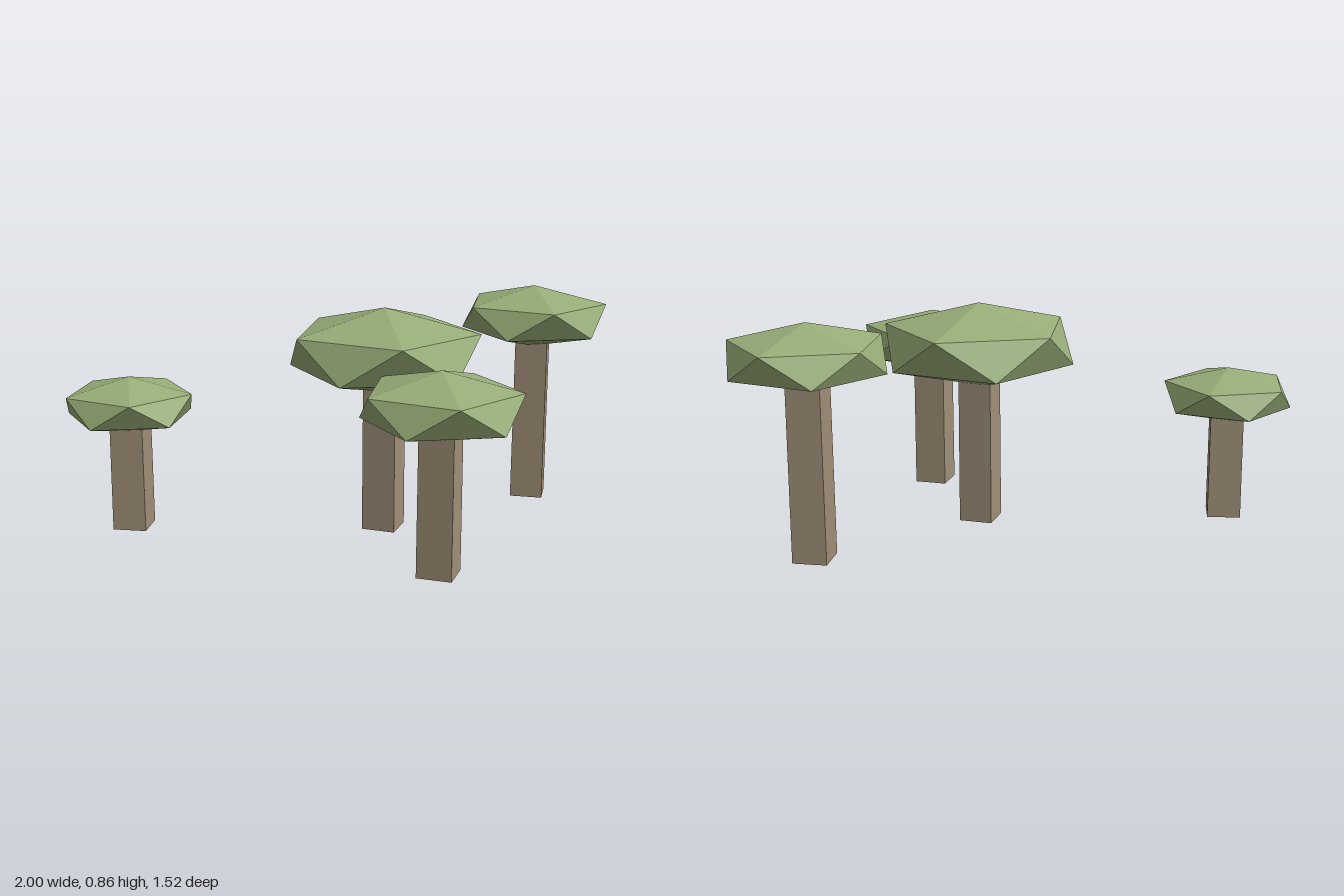
import * as THREE from 'three';

const trunkMaterial = new THREE.MeshStandardMaterial({ name: 'bark', color: 0xa09078, flatShading: true });
const leafMaterial = new THREE.MeshStandardMaterial({ name: 'foliage', color: 0x97ad78, flatShading: true });

// Unit icosahedron standing on a vertex, with an upper-ring corner on +x
const crownGeometry = new THREE.IcosahedronGeometry(1, 0);
crownGeometry.rotateZ(-Math.atan(2 / (1 + Math.sqrt(5))));

// x, z, crown centre height, crown radius, crown half height, trunk turn in degrees
const trees = [
  ['smallTree', -0.757, 0.18, 0.481, 0.271, 0.105, 1.5],
  ['wideTree', 0.186, 0.022, 0.69, 0.401, 0.159, -10],
  ['frontTree', 0.447, 0.491, 0.606, 0.315, 0.122, -9],
  ['backTree', 0.714, -0.491, 0.741, 0.317, 0.122, -2.7],
];

function makeTree([name, x, z, height, radius, halfHeight, turn]) {
  const tree = new THREE.Group();
  tree.name = name;
  tree.position.set(x, 0, z);

  // Square post with a slight taper, ending inside the crown
  const post = new THREE.CylinderGeometry(0.088, 0.09, height, 4);
  post.rotateY(Math.PI / 4 + THREE.MathUtils.degToRad(turn));
  const trunk = new THREE.Mesh(post, trunkMaterial);
  trunk.name = 'trunk';
  trunk.position.y = height / 2;

  // Squashed faceted crown
  const crown = new THREE.Mesh(crownGeometry, leafMaterial);
  crown.name = 'crown';
  crown.position.y = height;
  crown.scale.set(radius, halfHeight, radius);

  tree.add(trunk, crown);
  return tree;
}

export function createModel() {
  const grove = new THREE.Group();
  grove.name = 'treeGrove';
  for (const spec of trees) grove.add(makeTree(spec));
  return grove;
}
